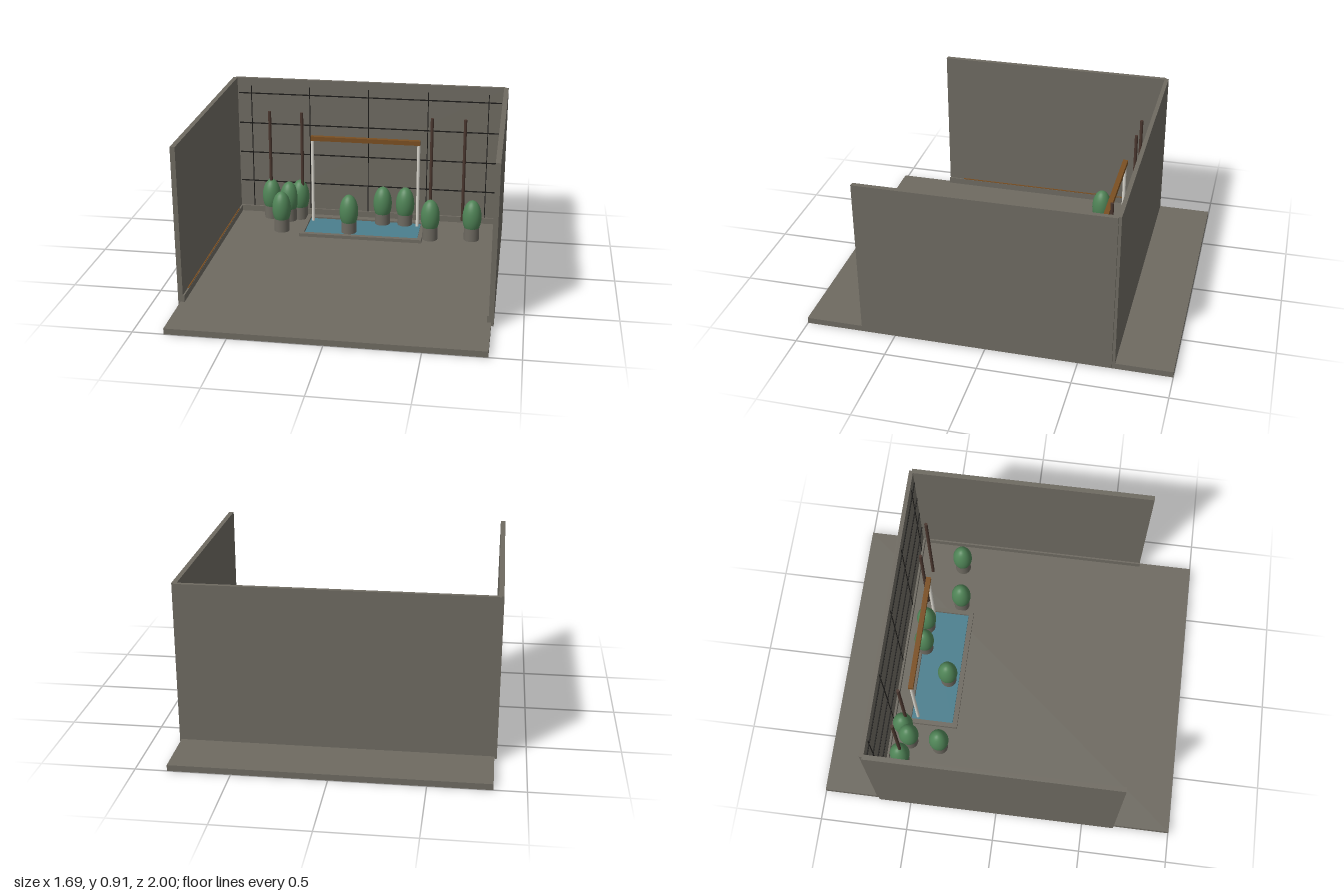
import * as THREE from 'three';

const mat = (name, color) => {
  const m = new THREE.MeshStandardMaterial({ color });
  m.name = name;
  return m;
};

export function createModel() {
  const root = new THREE.Group();
  root.name = 'courtyard';

  const stone = mat('stone', 0x6e6a61);
  const line = mat('dark joint', 0x1c1b19);
  const timber = mat('timber', 0x7a4f22);
  const darkWood = mat('dark wood', 0x49362e);
  const white = mat('white post', 0xd8d5cc);
  const water = mat('water', 0x4b7f8e);
  const leaf = mat('foliage', 0x4f8356);

  const add = (name, geo, material, x, y, z, parent = root) => {
    const m = new THREE.Mesh(geo, material);
    m.name = name;
    m.position.set(x, y, z);
    parent.add(m);
    return m;
  };
  // Box given by its limits on each axis
  const box = (name, material, [x0, x1], [y0, y1], [z0, z1]) =>
    add(name, new THREE.BoxGeometry(x1 - x0, y1 - y0, z1 - z0), material,
      (x0 + x1) / 2, (y0 + y1) / 2, (z0 + z1) / 2);
  // Upright cylinder from y0 to y1
  const post = (name, material, r, x, y0, y1, z, parent) =>
    add(name, new THREE.CylinderGeometry(r, r, y1 - y0, 20), material, x, (y0 + y1) / 2, z, parent);

  // Floor and walls
  box('floor', stone, [-0.832, 0.832], [0, 0.033], [-1, 1]);
  box('backWall', stone, [-0.832, 0.832], [0.012, 0.91], [-0.697, -0.674]);
  for (const s of [-1, 1]) {
    const wall = box('sideWall', stone, [0.818, 0.845], [0.012, 0.91], [-0.682, 0.682]);
    wall.position.x *= s;
    const skirting = box('sideSkirting', stone, [0.809, 0.82], [0.033, 0.07], [-0.672, 0.685]);
    skirting.position.x *= s;
  }
  box('backSkirting', stone, [-0.81, 0.81], [0.033, 0.07], [-0.675, -0.662]);
  box('timberStrip', timber, [-0.819, -0.811], [0.07, 0.074], [-0.59, 0.59]);

  // Panel joints on the back wall
  for (const y of [0.24, 0.43, 0.622, 0.815])
    box('horizontalJoint', line, [-0.81, 0.81], [y - 0.003, y + 0.003], [-0.675, -0.668]);
  for (let i = -2; i <= 2; i++)
    box('verticalJoint', line, [i * 0.366 - 0.0025, i * 0.366 + 0.0025], [0.07, 0.865], [-0.675, -0.67]);

  // Slim wooden poles
  for (const x of [-0.6, -0.4, 0.4, 0.6])
    post('pole', darkWood, 0.0095, x, 0.08, 0.73, -0.58);

  // Pool with raised rim
  const rim = new THREE.Shape([[-0.373, 0.295], [0.373, 0.295], [0.373, 0.597], [-0.373, 0.597]]
    .map(p => new THREE.Vector2(...p)));
  rim.holes.push(new THREE.Path([[-0.347, 0.323], [-0.347, 0.571], [0.347, 0.571], [0.347, 0.323]]
    .map(p => new THREE.Vector2(...p))));
  const rimGeo = new THREE.ExtrudeGeometry(rim, { depth: 0.02, bevelEnabled: false });
  rimGeo.rotateX(-Math.PI / 2);
  add('poolRim', rimGeo, stone, 0, 0.033, 0);
  box('poolWater', water, [-0.345, 0.345], [0.034, 0.045], [-0.569, -0.325]);

  // Pergola frame over the pool
  for (const x of [-0.326, 0.326]) post('framePost', white, 0.0095, x, 0.04, 0.575, -0.533);
  box('frameBeam', timber, [-0.335, 0.335], [0.573, 0.6], [-0.547, -0.519]);

  // Potted shrubs
  const shrubs = [[-0.6, -0.588], [-0.482, -0.555], [-0.42, -0.598], [0.107, -0.553], [0.246, -0.56],
    [-0.494, -0.377], [-0.079, -0.385], [0.418, -0.375], [0.667, -0.402]];
  const leafGeo = new THREE.SphereGeometry(1, 28, 20);
  for (const [x, z] of shrubs) {
    const shrub = new THREE.Group();
    shrub.name = 'pottedShrub';
    shrub.position.set(x, 0, z);
    post('pot', stone, 0.046, 0, 0.034, 0.125, 0, shrub);
    add('foliage', leafGeo, leaf, 0, 0.178, 0, shrub).scale.set(0.057, 0.107, 0.057);
    root.add(shrub);
  }
  return root;
}
